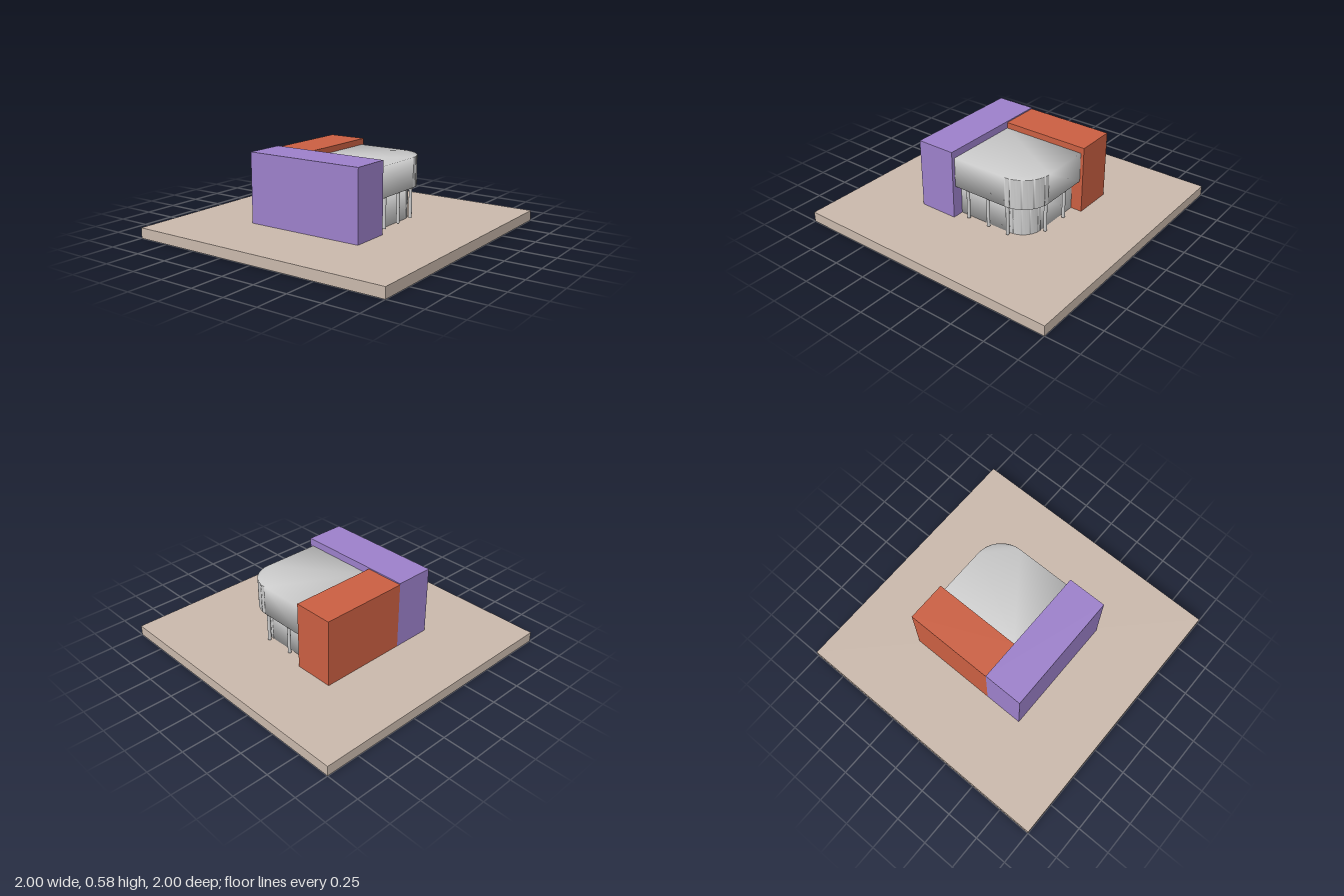
import * as THREE from 'three';
import { mergeVertices } from 'three/addons/utils/BufferGeometryUtils.js';

const material = (color) => new THREE.MeshStandardMaterial({ color });

// Box given by its limits on each axis
function block(name, [x0, x1], [y0, y1], [z0, z1], mat) {
  const mesh = new THREE.Mesh(new THREE.BoxGeometry(x1 - x0, y1 - y0, z1 - z0), mat);
  mesh.position.set((x0 + x1) / 2, (y0 + y1) / 2, (z0 + z1) / 2);
  mesh.name = name;
  return mesh;
}

// Storey with one rounded corner at +x, +z and normals blended over the rims
function roundedStorey(name, [x0, x1], [y0, y1], [z0, z1], radius, mat) {
  const shape = new THREE.Shape();
  shape.moveTo(x0, -z0);
  shape.lineTo(x0, -z1);
  shape.lineTo(x1 - radius, -z1);
  shape.absarc(x1 - radius, -z1 + radius, radius, -Math.PI / 2, 0, false);
  shape.lineTo(x1, -z0);
  shape.closePath();
  let geometry = new THREE.ExtrudeGeometry(shape, { depth: y1 - y0, bevelEnabled: false, curveSegments: 16 });
  geometry.rotateX(-Math.PI / 2);
  geometry.deleteAttribute('normal');
  geometry.deleteAttribute('uv');
  geometry = mergeVertices(geometry, 1e-4);
  geometry.computeVertexNormals();
  const mesh = new THREE.Mesh(geometry, mat);
  mesh.position.y = y0;
  mesh.name = name;
  return mesh;
}

export function createModel() {
  const model = new THREE.Group();
  model.name = 'house';
  const grey = material(0xcccccc);
  const ground = 0.075;

  // Plot and the two solid wings
  model.add(
    block('groundSlab', [-1, 1], [0, ground], [-1, 1], material(0xc9b8ab)),
    block('sideWing', [-0.465, -0.175], [ground, 0.585], [-0.453, 0.446], material(0x9c80ca)),
    block('backWing', [-0.175, 0.483], [ground, 0.576], [-0.453, -0.158], material(0xca5f42))
  );

  // Rounded storeys, the upper one overhanging
  model.add(
    roundedStorey('lowerStorey', [-0.175, 0.397], [ground, 0.312], [-0.158, 0.36], 0.15, grey),
    roundedStorey('upperStorey', [-0.175, 0.46], [0.312, 0.532], [-0.158, 0.42], 0.21, grey)
  );

  // Columns under the overhang
  const columns = new THREE.Group();
  columns.name = 'columns';
  const bottom = 0.088, top = 0.314;
  const columnGeometry = new THREE.CylinderGeometry(0.012, 0.012, top - bottom, 16);
  const spots = [[-0.08, 0.398], [0.095, 0.398], [0.26, 0.398], [0.435, 0.21], [0.435, -0.005]];
  for (const [x, z] of spots) {
    const column = new THREE.Mesh(columnGeometry, grey);
    column.position.set(x, (bottom + top) / 2, z);
    column.name = 'column';
    columns.add(column);
  }
  model.add(columns);
  return model;
}
